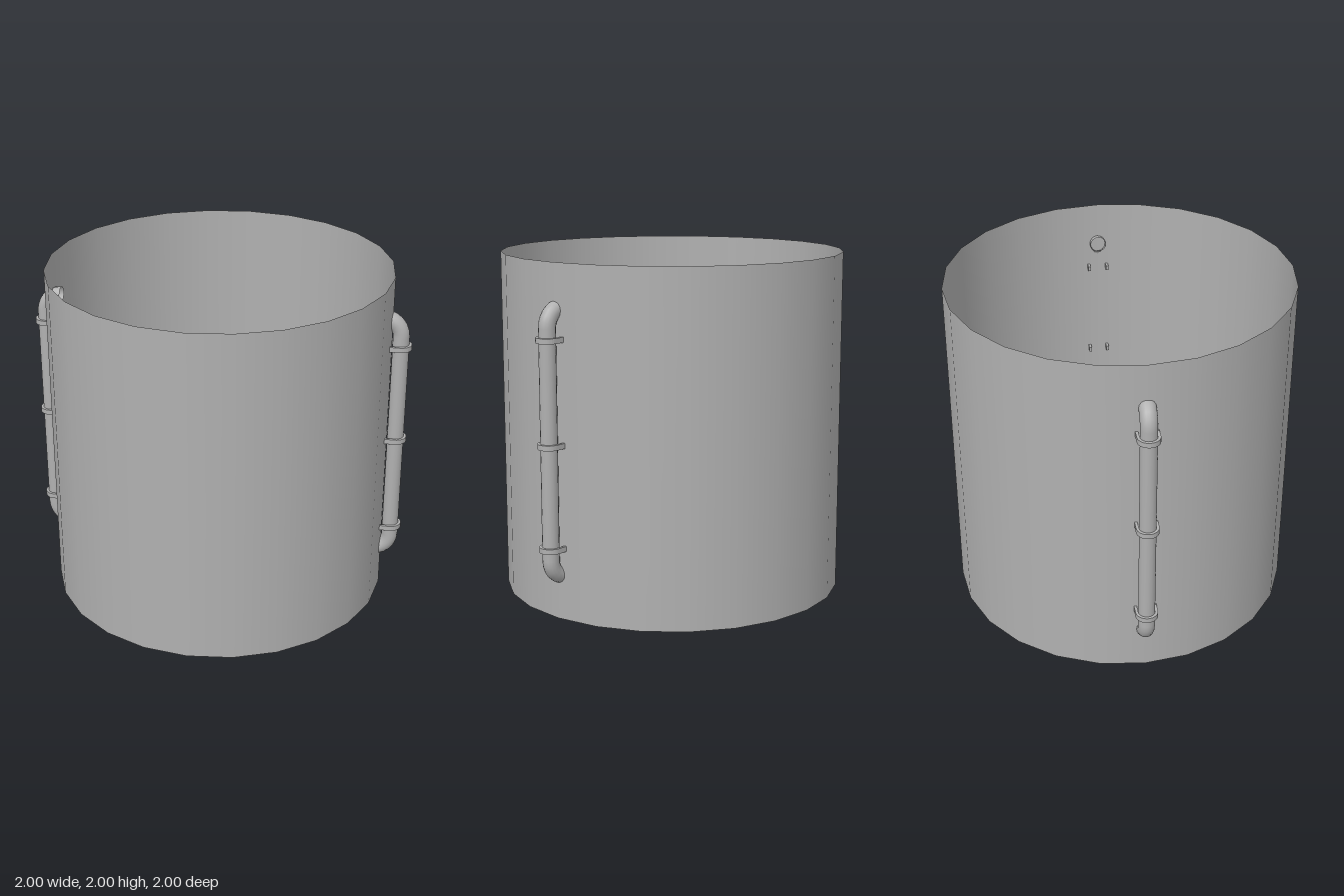
import * as THREE from 'three';

const grey = new THREE.MeshStandardMaterial({ color: 0xb0b0b0, side: THREE.DoubleSide });
grey.name = 'grey';

const PIPE_X = 1.05;   // distance of the pipe from the shell axis
const END_X = 0.95;    // where pipe ends and clamps stop, just inside the shell
const PIPE_R = 0.048;
const CLAMP_R = 0.064;

const v = (x, y) => new THREE.Vector3(x, y, 0);

// Open pipe: elbow, straight run, elbow
function pipeGeometry() {
  const bend = PIPE_X - END_X;
  const k = bend * 0.45;
  const low = 0.248, high = 1.752;
  const path = new THREE.CurvePath();
  path.add(new THREE.CubicBezierCurve3(
    v(END_X, low), v(PIPE_X - k, low), v(PIPE_X, low + k), v(PIPE_X, low + bend)));
  path.add(new THREE.LineCurve3(v(PIPE_X, low + bend), v(PIPE_X, high - bend)));
  path.add(new THREE.CubicBezierCurve3(
    v(PIPE_X, high - bend), v(PIPE_X, high - k), v(PIPE_X - k, high), v(END_X, high)));
  return new THREE.TubeGeometry(path, 60, PIPE_R, 16, false);
}

// U-shaped band that wraps the pipe and runs into the shell
function clampGeometry() {
  const height = 0.03;
  const shape = new THREE.Shape();
  shape.moveTo(END_X, -CLAMP_R);
  shape.lineTo(PIPE_X, -CLAMP_R);
  shape.absarc(PIPE_X, 0, CLAMP_R, -Math.PI / 2, Math.PI / 2, false);
  shape.lineTo(END_X, CLAMP_R);
  shape.lineTo(END_X, PIPE_R);
  shape.lineTo(PIPE_X, PIPE_R);
  shape.absarc(PIPE_X, 0, PIPE_R, Math.PI / 2, -Math.PI / 2, true);
  shape.lineTo(END_X, -PIPE_R);
  shape.closePath();
  const geometry = new THREE.ExtrudeGeometry(shape, { depth: height, bevelEnabled: false, curveSegments: 8 });
  return geometry.translate(0, 0, -height / 2).rotateX(-Math.PI / 2);
}

export function createModel() {
  const model = new THREE.Group();
  model.name = 'pipedCylinder';

  const add = (parent, name, geometry) => {
    const mesh = new THREE.Mesh(geometry, grey);
    mesh.name = name;
    parent.add(mesh);
    return mesh;
  };

  // Shell, open at top and bottom
  add(model, 'shell', new THREE.CylinderGeometry(1, 1, 2, 24, 1, true)).position.y = 1;

  // Two clamped pipes on opposite sides
  const pipe = pipeGeometry();
  const clamp = clampGeometry();
  for (const [name, turn] of [['leftPipe', Math.PI / 6], ['rightPipe', Math.PI * 7 / 6]]) {
    const group = new THREE.Group();
    group.name = name;
    group.rotation.y = turn;
    add(group, 'pipe', pipe);
    for (const y of [0.415, 1, 1.585]) add(group, 'clamp', clamp).position.y = y;
    model.add(group);
  }
  return model;
}
